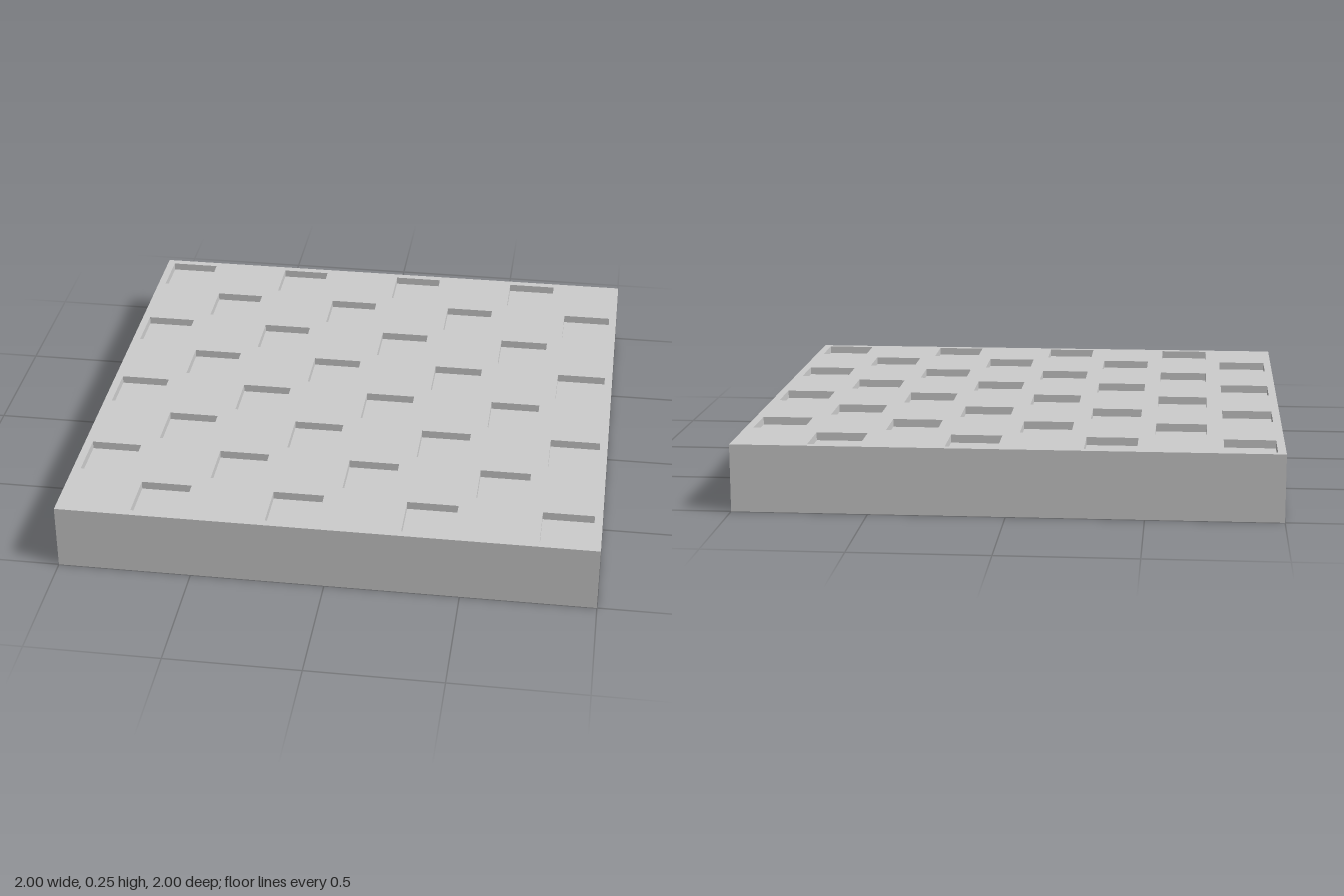
import * as THREE from 'three';
import { mergeGeometries } from 'three/addons/utils/BufferGeometryUtils.js';

const HEIGHT = 0.25, CELL = 0.25, POCKET = 0.19, DEPTH = 0.03;

// Box without its top face
function openBox(w, h, d) {
  const box = new THREE.BoxGeometry(w, h, d);
  box.setIndex([...box.index.array].filter((_, i) => i < 12 || i >= 18));
  box.clearGroups();
  return box;
}

export function createModel() {
  const group = new THREE.Group();
  const material = new THREE.MeshStandardMaterial({ color: 0xcccccc });
  const add = (geometry, name) => {
    const mesh = new THREE.Mesh(geometry, material);
    mesh.name = name;
    group.add(mesh);
  };

  // Sides and underside
  add(openBox(2, HEIGHT, 2).translate(0, HEIGHT / 2, 0), 'slab');

  // Top face with a square hole on every other cell of an 8 x 8 board
  const face = new THREE.Shape().moveTo(-1, -1).lineTo(1, -1).lineTo(1, 1).lineTo(-1, 1).closePath();
  const pockets = [];
  const s = POCKET / 2;
  for (let row = 0; row < 8; row++) {
    for (let col = row % 2; col < 8; col += 2) {
      const x = -1 + CELL * (col + 0.5);
      const z = -1 + CELL * (row + 0.5);
      face.holes.push(new THREE.Path().moveTo(x - s, -z - s).lineTo(x - s, -z + s)
        .lineTo(x + s, -z + s).lineTo(x + s, -z - s).closePath());

      // Pocket walls and floor, mirrored so that they face inward
      const pocket = openBox(POCKET, DEPTH, POCKET).scale(-1, 1, 1);
      pocket.computeVertexNormals();
      pockets.push(pocket.translate(x, HEIGHT - DEPTH / 2, z));
    }
  }
  add(new THREE.ShapeGeometry(face).rotateX(-Math.PI / 2).translate(0, HEIGHT, 0), 'topFace');
  add(mergeGeometries(pockets), 'squarePockets');

  return group;
}
